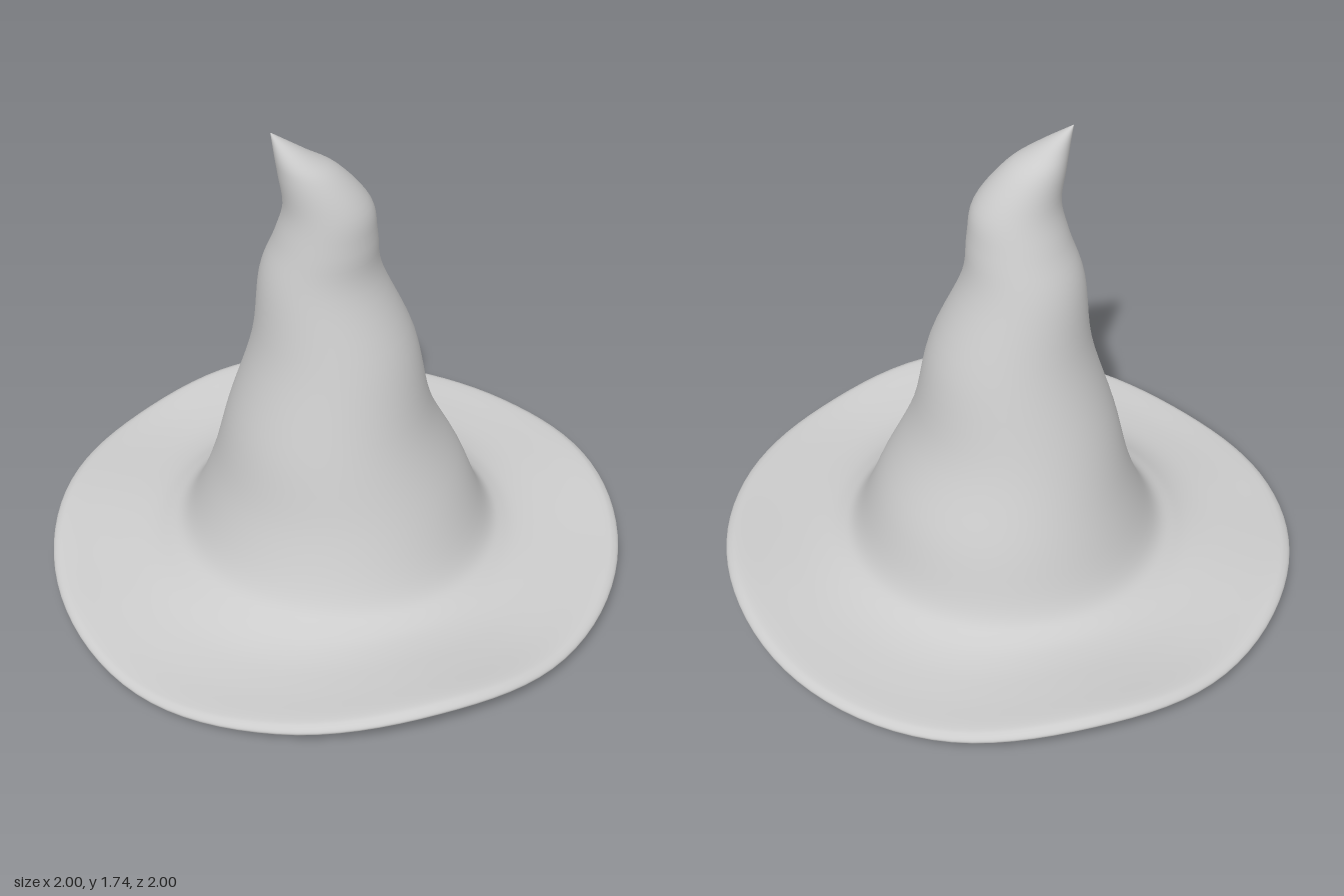
import * as THREE from 'three';

// Outer crown rings, tip downwards: [height, left x, right x, back z, front z]
const CROWN = [
  [1.74, -0.212, -0.21, -0.001, 0.001],
  [1.66, -0.205, -0.09, -0.035, 0.075],
  [1.59, -0.195, 0.01, -0.07, 0.12],
  [1.47, -0.18, 0.105, -0.105, 0.16],
  [1.35, -0.205, 0.13, -0.15, 0.175],
  [1.2, -0.25, 0.155, -0.205, 0.19],
  [0.94, -0.28, 0.265, -0.27, 0.27],
  [0.65, -0.365, 0.33, -0.36, 0.35],
  [0.4, -0.425, 0.45, -0.455, 0.43],
  [0.2, -0.51, 0.53, -0.53, 0.52],
];
// Brim rings: [height, share of the rim wave, radius]
const BRIM = [[0.13, 0.08, 0.6], [0.075, 0.4, 0.7], [0.04, 0.75, 0.83], [0.023, 1, 0.95]];
// Height of the rim every 30 degrees, from +x towards +z
const RIM = [0.115, 0.1, 0.085, 0.13, 0.08, 0.028, 0.06, 0.1, 0.09, 0.13, 0.08, 0.08];
const THICK = 0.035;

// Smooth periodic height of the rim at angle a
function rimHeight(a) {
  const n = RIM.length;
  const t = (a / (2 * Math.PI)) * n;
  const i = Math.floor(t), f = t - i;
  const [p, q, r, s] = [-1, 0, 1, 2].map((k) => RIM[(i + k + n) % n]);
  return q + 0.5 * f * (r - p + f * (2 * p - 5 * q + 4 * r - s + f * (3 * (q - r) + s - p)));
}

// A ring is a centre line point (cx, y, cz) and a shape (rx, rz, wave share)
const ring = (y, cx, cz, rx, rz, wave = 0) => ({
  centre: new THREE.Vector3(cx, y, cz),
  shape: new THREE.Vector3(rx, rz, wave),
});

function hatRings() {
  const crown = CROWN.map(([y, l, r, b, f]) =>
    ring(y, (l + r) / 2, (b + f) / 2, (r - l) / 2, (f - b) / 2));
  const brim = BRIM.map(([y, w, r]) => ring(y, 0, 0, r, r, w));
  const edge = [[0.017, 0.985], [0, 1], [-0.017, 0.985], [-0.024, 0.95]]
    .map(([y, r]) => ring(y, 0, 0, r, r, 1));
  // Underside of the brim, then the lining of the hollow crown
  const under = BRIM.slice(0, 3).reverse().map(([y, w, r]) =>
    ring(y - THICK - 0.008, 0, 0, r - 0.01, r - 0.01, w));
  const lining = crown.slice(3).reverse().map(({ centre: c, shape: s }) =>
    ring(c.y - 0.015, c.x, c.z, s.x - THICK, s.y - THICK));
  const top = ring(1.53, -0.06, 0.03, 0.001, 0.001);
  return [...crown, ...brim, ...edge, ...under, ...lining, top];
}

function hatGeometry(perRing = 5, sides = 96) {
  const rings = hatRings();
  const spline = (key) =>
    new THREE.CatmullRomCurve3(rings.map((r) => r[key]), false, 'catmullrom', 0.5);
  const centres = spline('centre'), shapes = spline('shape');
  const rows = (rings.length - 1) * perRing;
  const positions = [], index = [];
  for (let i = 0; i <= rows; i++) {
    const c = centres.getPoint(i / rows), s = shapes.getPoint(i / rows);
    for (let j = 0; j < sides; j++) {
      const a = (j / sides) * 2 * Math.PI;
      positions.push(
        c.x + s.x * Math.cos(a),
        Math.max(0, c.y + s.z * rimHeight(a)),
        c.z + s.y * Math.sin(a));
      if (i === rows) continue;
      const k = (j + 1) % sides;
      const p = i * sides + j, q = i * sides + k;
      index.push(p, q, p + sides, q, q + sides, p + sides);
    }
  }
  const geometry = new THREE.BufferGeometry();
  geometry.setAttribute('position', new THREE.Float32BufferAttribute(positions, 3));
  geometry.setIndex(index);
  geometry.computeVertexNormals();
  return geometry;
}

export function createModel() {
  const group = new THREE.Group();
  group.name = 'pointedHat';
  // Crown, wavy brim and lining form one continuous felt shell
  const shell = new THREE.Mesh(
    hatGeometry(),
    new THREE.MeshStandardMaterial({ color: 0xcccccc }));
  shell.name = 'hatShell';
  group.add(shell);
  return group;
}
